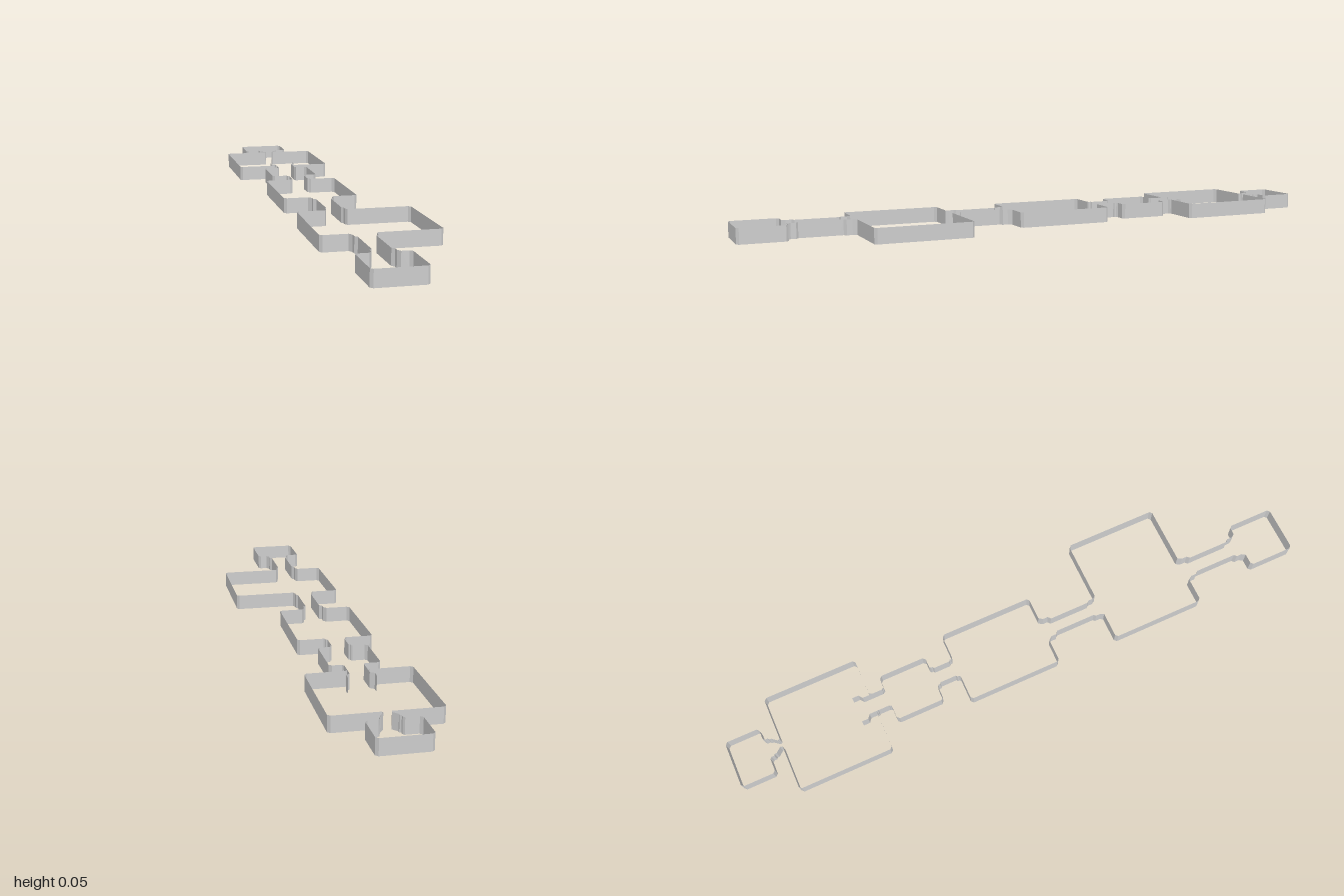
import * as THREE from 'three';

const HEIGHT = 0.05;
const CHAMFER = 0.008;
const CENTRE = -0.036; // line of the narrow passages

// Rooms from front to back: z range, side walls, then for each doorway its
// half width at the wall, half width in the neck, and reach along z.
const rooms = [
  { z0: 1.0, z1: 0.844, xl: 0.038, xr: -0.12, back: [0.043, 0.027, 0.05] },
  { z0: 0.625, z1: 0.307, xl: 0.203, xr: -0.162, front: [0.043, 0.027, 0.053], back: [0.036, 0.024, 0.045] },
  { z0: 0.1, z1: -0.219, xl: 0.085, xr: -0.158, front: [0.043, 0.024, 0.05], back: [0.037, 0.027, 0.018] },
  { z0: -0.301, z1: -0.464, xl: 0.038, xr: -0.12, front: [0.037, 0.027, 0.018], back: [0.035, 0.03, 0.01] },
  { z0: -0.516, z1: -0.835, xl: 0.125, xr: -0.203, front: [0.037, 0.03, 0.01], back: [0.014, 0.012, 0.008] },
  { z0: -0.885, z1: -1.0, xl: 0.038, xr: -0.12, front: [0.036, 0.026, 0.025] },
];

// Thin upright wall along a floor-plan path of [x, z] points
function wall(name, path) {
  const pos = [];
  for (let i = 0; i < path.length - 1; i++) {
    const [ax, az] = path[i], [bx, bz] = path[i + 1];
    pos.push(ax, 0, az, bx, 0, bz, bx, HEIGHT, bz);
    pos.push(ax, 0, az, bx, HEIGHT, bz, ax, HEIGHT, az);
  }
  const geo = new THREE.BufferGeometry();
  geo.setAttribute('position', new THREE.Float32BufferAttribute(pos, 3));
  geo.computeVertexNormals();
  const mat = new THREE.MeshStandardMaterial({ color: 0xcccccc, flatShading: true, side: THREE.DoubleSide });
  const mesh = new THREE.Mesh(geo, mat);
  mesh.name = name;
  return mesh;
}

// Stepped doorway from the room wall at z out to the neck; dir is +1 to the front
function doorway(side, z, dir, [atWall, neck, reach]) {
  const step = (atWall + neck) / 2;
  return [[atWall, 0], [step, 0.25], [step, 0.6], [neck, 0.75], [neck, 1]]
    .map(([w, t]) => [CENTRE + side * w, z + dir * reach * t]);
}

// One side of the whole chain, side = 1 for +x and -1 for -x
function sidePath(side) {
  const path = [];
  for (const { z0, z1, xl, xr, front, back } of rooms) {
    const x = side > 0 ? xl : xr;
    // doorway into the room, or a closed front end
    path.push(...(front ? doorway(side, z0, 1, front).reverse() : [[CENTRE, z0]]));
    // chamfered corners of the side wall
    path.push([x - side * CHAMFER, z0], [x, z0 - CHAMFER], [x, z1 + CHAMFER], [x - side * CHAMFER, z1]);
    // doorway out of the room, or a closed back end
    path.push(...(back ? doorway(side, z1, -1, back) : [[CENTRE, z1]]));
  }
  return path;
}

export function createModel() {
  const model = new THREE.Group();
  model.name = 'roomChain';
  for (const [side, word] of [[1, 'left'], [-1, 'right']]) {
    model.add(wall(word + 'Wall', sidePath(side)));
    // short door post reaching into the rear room, with an outward step
    const x = CENTRE + side * 0.03, outer = x + side * 0.013;
    model.add(wall(word + 'DoorPost', [[x, -0.506], [x, -0.54], [outer, -0.55], [outer, -0.572]]));
  }
  return model;
}
